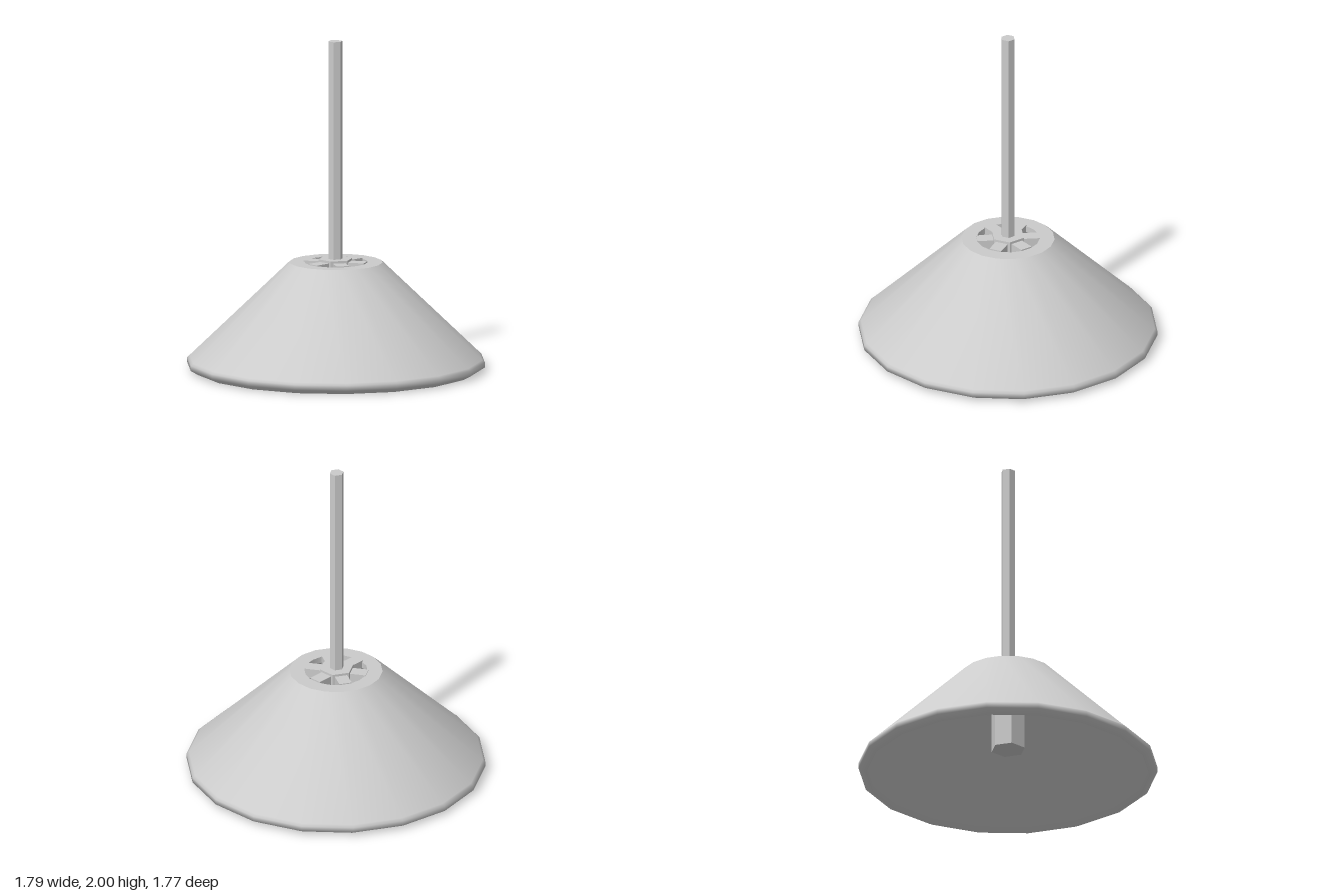
import * as THREE from 'three';

export function createModel() {
  const model = new THREE.Group();
  const smooth = new THREE.MeshStandardMaterial({ color: 0xcccccc });
  const faceted = new THREE.MeshStandardMaterial({ color: 0xcccccc, flatShading: true });

  const add = (name, geometry, material, parent = model) => {
    const mesh = new THREE.Mesh(geometry, material);
    mesh.name = name;
    parent.add(mesh);
    return mesh;
  };

  // Eighteen-sided turned part with corners on the x axis
  const turned = (name, points) => {
    const profile = points.map(([r, y]) => new THREE.Vector2(r, y));
    add(name, new THREE.LatheGeometry(profile, 18, Math.PI / 2), smooth);
  };

  // Conical wall: inner slope down, bevelled rim, outer slope up
  turned('shade', [
    [0.19, 0.615], [0.85, 0.06], [0.85, 0.002], [0.897, 0.028],
    [0.897, 0.06], [0.882, 0.073], [0.28, 0.655],
  ]);
  // Flat top of the wall and the edge of its vent opening
  turned('collar', [[0.28, 0.655], [0.19, 0.655]]);
  turned('ventEdge', [[0.19, 0.655], [0.19, 0.615]]);

  // Hub, spokes and stem sit a hair off the shade's axis
  const fitting = new THREE.Group();
  fitting.name = 'fitting';
  fitting.position.x = -0.004;
  model.add(fitting);

  // Hexagonal bar with corners on the x axis
  const hexBar = (name, radius, bottom, top) => {
    const geometry = new THREE.CylinderGeometry(radius, radius, top - bottom, 6, 1, false, Math.PI / 2);
    add(name, geometry, faceted, fitting).position.y = (bottom + top) / 2;
  };

  // Six spokes joining the collar to the hub
  for (let i = 0; i < 6; i++) {
    const angle = Math.PI / 6 + (i * Math.PI) / 3;
    const spoke = add('spoke', new THREE.BoxGeometry(0.12, 0.06, 0.077), faceted, fitting);
    spoke.position.set(Math.cos(angle) * 0.128, 0.631, Math.sin(angle) * 0.128);
    spoke.rotation.y = -angle;
  }

  // Lamp socket hanging inside the shade, and the stem above it
  hexBar('socket', 0.104, 0.16, 0.675);
  hexBar('stem', 0.043, 0.66, 2);

  return model;
}
